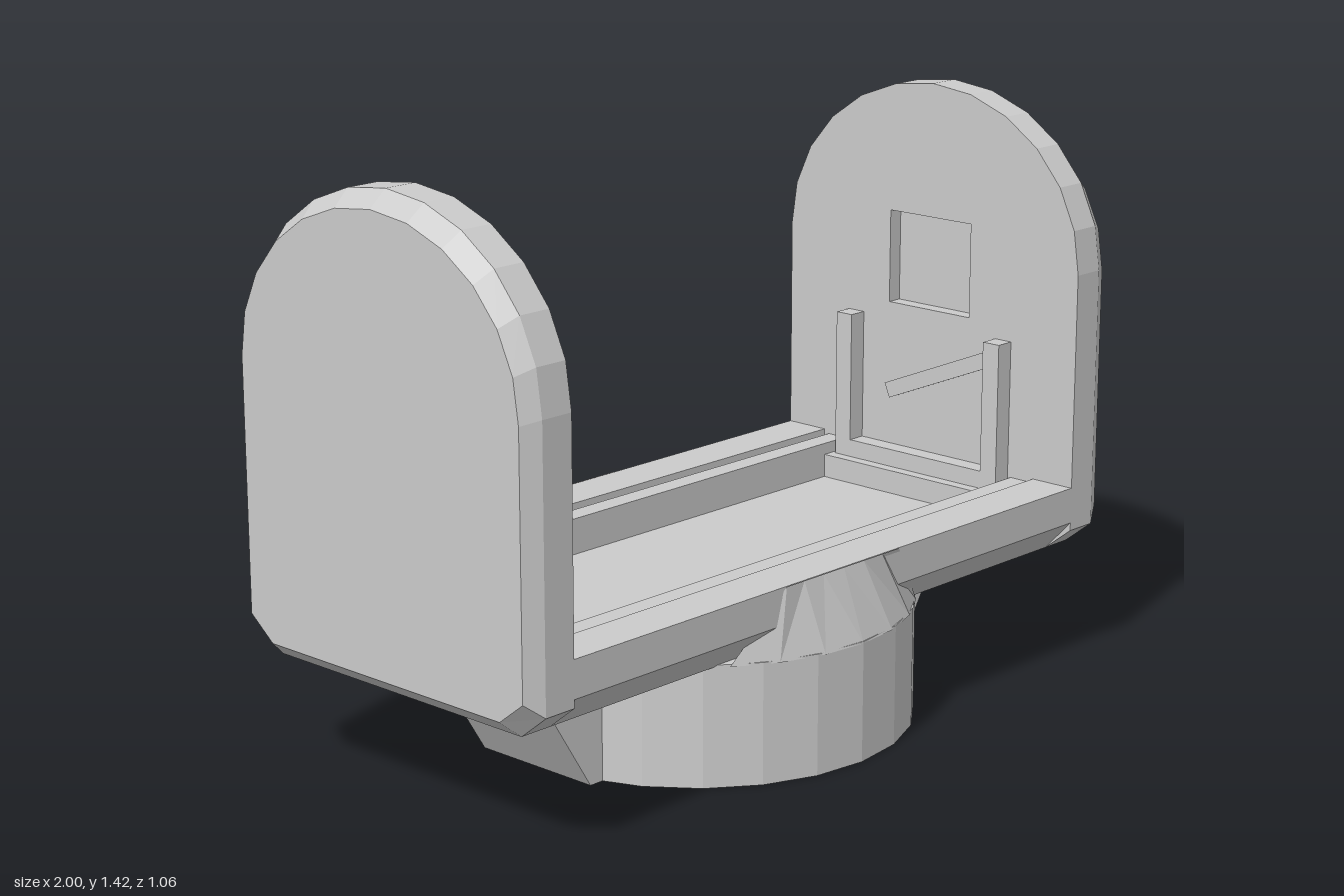
import * as THREE from 'three';

const mat = new THREE.MeshStandardMaterial({ color: 0xcccccc, flatShading: true, side: THREE.DoubleSide });

function add(parent, name, geometry) {
  const mesh = new THREE.Mesh(geometry, mat);
  mesh.name = name;
  parent.add(mesh);
  return mesh;
}

function box(parent, name, w, h, d, x, y, z) {
  const mesh = add(parent, name, new THREE.BoxGeometry(w, h, d));
  mesh.position.set(x, y, z);
  return mesh;
}

const shapeOf = pts => new THREE.Shape(pts.map(([x, y]) => new THREE.Vector2(x, y)));
const pathOf = pts => new THREE.Path(pts.map(([x, y]) => new THREE.Vector2(x, y)));
const extrude = (shape, depth, steps = 1) =>
  new THREE.ExtrudeGeometry(shape, { depth, steps, bevelEnabled: false });

// Arched outline of an end plate, with clipped lower corners
function archPoints() {
  const pts = [[-0.39, 0.29], [0.39, 0.29], [0.465, 0.35]];
  const n = 12;
  for (let i = 0; i <= n; i++) {
    const a = (i / n) * Math.PI;
    pts.push([0.465 * Math.cos(a), 1.0 + 0.42 * Math.sin(a)]);
  }
  pts.push([-0.465, 0.35]);
  return pts;
}

// End plate: pocketed inner layer plus an outer layer with a chamfered rim
function endPlate(side, holes) {
  const group = new THREE.Group();
  const inner = shapeOf(archPoints());
  inner.holes = holes.map(pathOf);
  const innerGeo = extrude(inner, 0.04);
  innerGeo.rotateY(side * Math.PI / 2).translate(side * 0.87, 0, 0);
  add(group, 'pocketedInnerLayer', innerGeo);

  const outerGeo = extrude(shapeOf(archPoints()), 0.09, 2);
  const p = outerGeo.attributes.position;
  for (let i = 0; i < p.count; i++) {
    if (p.getZ(i) > 0.08) {
      p.setX(i, p.getX(i) * 0.95);
      p.setY(i, 0.86 + (p.getY(i) - 0.86) * 0.93);
    }
  }
  outerGeo.rotateY(side * Math.PI / 2).translate(side * 0.91, 0, 0);
  outerGeo.computeVertexNormals();
  add(group, 'chamferedOuterLayer', outerGeo);
  return group;
}

const rect = (x0, x1, y0, y1) => [[x0, y0], [x1, y0], [x1, y1], [x0, y1]];

export function createModel() {
  const model = new THREE.Group();
  model.name = 'cradle';

  // Tray: U-shaped section with stepped rails and chamfered lower edges
  const half = [[0.275, 0.32], [0.275, 0.45], [0.33, 0.45], [0.33, 0.435], [0.345, 0.435],
    [0.345, 0.46], [0.465, 0.46], [0.465, 0.37], [0.39, 0.29]];
  const section = [...half, ...half.map(([z, y]) => [-z, y]).reverse()];
  const trayGeo = extrude(shapeOf(section), 1.74);
  trayGeo.rotateY(Math.PI / 2).translate(-0.87, 0, 0);
  add(model, 'tray', trayGeo);

  // Floor plate with a small pit
  const floor = shapeOf(rect(-0.87, 0.87, -0.275, 0.275));
  floor.holes.push(pathOf([[-0.72, -0.15], [-0.57, -0.15], [-0.57, 0.0], [-0.72, 0.06]]));
  const floorGeo = extrude(floor, 0.04);
  floorGeo.rotateX(Math.PI / 2).translate(0, 0.36, 0);
  add(model, 'floor', floorGeo);

  // End plates and the ledges at their feet
  const oval = [];
  for (let i = 0; i < 9; i++) {
    const a = (i / 9) * Math.PI * 2 + 0.3;
    oval.push([0.18 * Math.cos(a), 1.0 + 0.24 * Math.sin(a)]);
  }
  const rightPlate = endPlate(-1, [oval, rect(-0.13, 0.12, 0.52, 0.67)]);
  rightPlate.name = 'rightEndPlate';
  const leftPlate = endPlate(1, [rect(-0.13, 0.13, 0.84, 1.08)]);
  leftPlate.name = 'leftEndPlate';
  model.add(rightPlate, leftPlate);
  for (const s of [-1, 1]) box(model, 'ledge', 0.08, 0.06, 0.55, s * 0.83, 0.39, 0);

  // Raised frame on the inside of the left plate
  for (const s of [-1, 1]) box(model, 'frameUpright', 0.05, 0.4, 0.05, 0.846, 0.6, s * 0.24);
  box(model, 'frameSill', 0.05, 0.05, 0.5, 0.846, 0.44, 0);
  const brace = box(model, 'frameBrace', 0.035, 0.04, 0.38, 0.853, 0.69, 0.07);
  brace.rotation.x = -0.4;

  // Open mounting ring below the tray
  const ring = [[0.49, 0.29], [0.49, 0.03], [0.505, 0], [0.53, 0.0], [0.53, 0.295], [0.49, 0.295]]
    .map(([r, y]) => new THREE.Vector2(r, y));
  add(model, 'mountingRing', new THREE.LatheGeometry(ring, 24));

  // Ring shoulders that taper up against the front and back of the tray
  for (const s of [1, -1]) {
    const profile = [new THREE.Vector2(0.53, 0.29), new THREE.Vector2(0.53, 0.46)];
    const geo = new THREE.LatheGeometry(profile, 6, -0.67, 1.34);
    const p = geo.attributes.position;
    for (let i = 0; i < p.count; i++) {
      if (p.getY(i) > 0.4) p.setXYZ(i, p.getX(i) * 0.6, 0.46, 0.468);
    }
    geo.computeVertexNormals();
    add(model, 'ringShoulder', geo).rotation.y = s > 0 ? 0 : Math.PI;
  }

  // Wedge gussets bracing the ring to the tray ends
  for (const s of [0, 1]) {
    const geo = extrude(shapeOf([[0.495, 0], [0.535, 0], [0.72, 0.295], [0.495, 0.295]]), 0.35);
    geo.translate(0, 0, -0.175);
    add(model, 'gusset', geo).rotation.y = s * Math.PI;
  }

  return model;
}
